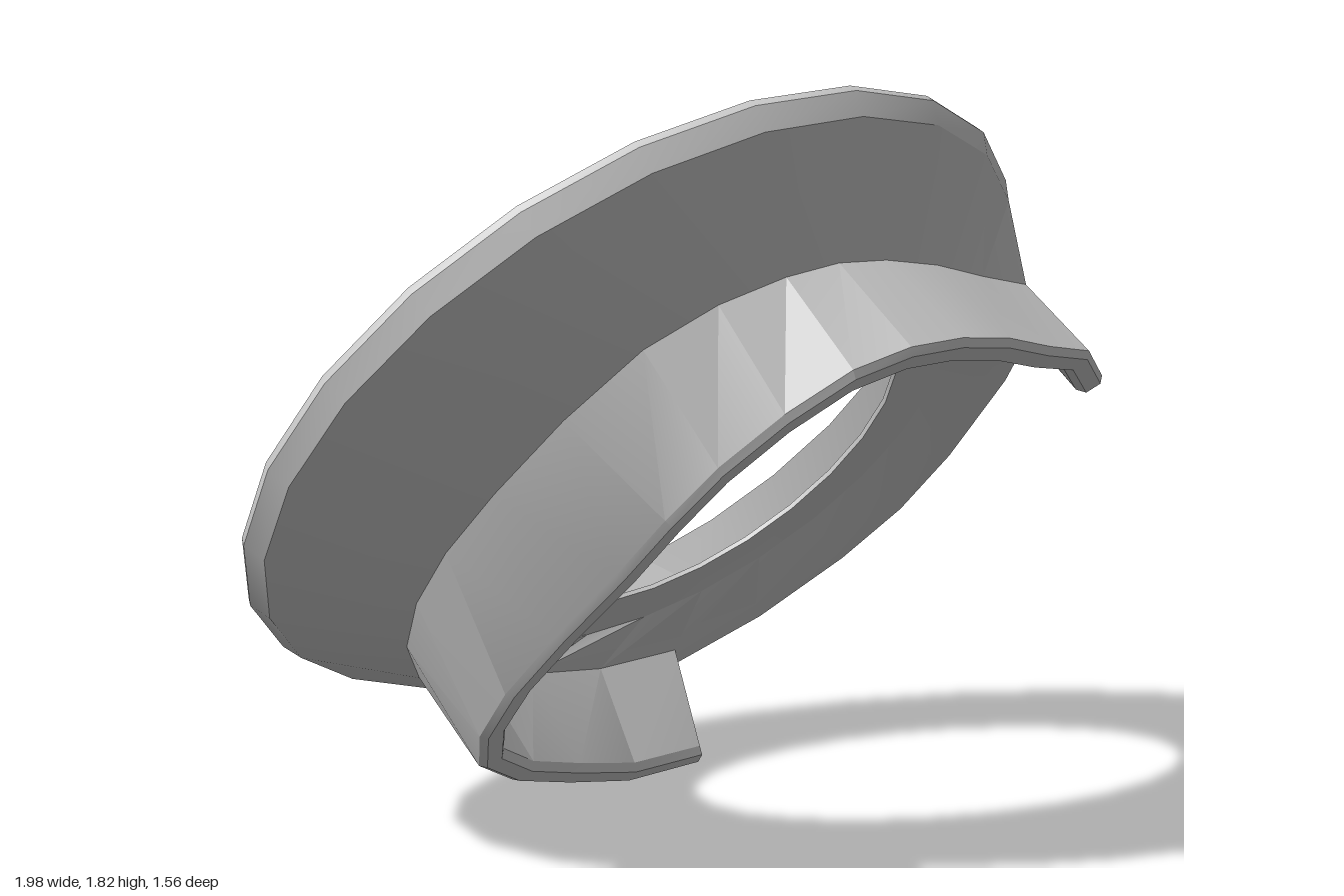
import * as THREE from 'three';
import { toCreasedNormals } from 'three/addons/utils/BufferGeometryUtils.js';

const N = 24;               // sides of every ring
const MID = [0.24, -0.07];  // centre of the offset collar

// Circle of N points at a given depth along the collar axis
function circle(r, depth, cx = 0, cy = 0) {
  return Array.from({ length: N }, (_, i) => {
    const a = ((i + 0.5) / N) * Math.PI * 2;
    return new THREE.Vector3(cx + r * Math.cos(a), cy + r * Math.sin(a), depth);
  });
}

// Smooth closed outline through 12 control points, sampled to N points
function outline(points, depth) {
  const curve = new THREE.CatmullRomCurve3(
    points.map(([x, y]) => new THREE.Vector3(x, y, depth)), true, 'catmullrom', 0.5);
  return Array.from({ length: N }, (_, i) => curve.getPoint(i / N));
}

// Pull an outline towards the collar centre and set its depth
function inset(loop, d, depth) {
  return loop.map((p) => {
    const v = new THREE.Vector3(MID[0] - p.x, MID[1] - p.y, 0).setLength(d).add(p);
    v.z = depth;
    return v;
  });
}

// Skin a series of loops from index start to end, with optional end caps
function skin(loops, start = 0, end = N, caps = false) {
  const pos = [];
  const tri = (a, b, c) => pos.push(...a.toArray(), ...b.toArray(), ...c.toArray());
  for (let k = 0; k < loops.length - 1; k++) {
    const a = loops[k], b = loops[k + 1];
    for (let i = start; i < end; i++) {
      const p = i % N, q = (i + 1) % N;
      tri(a[p], a[q], b[q]);
      tri(a[p], b[q], b[p]);
    }
  }
  if (caps) {
    for (let k = 1; k < loops.length - 1; k++) {
      tri(loops[0][start], loops[k][start], loops[k + 1][start]);
      tri(loops[0][end], loops[k + 1][end], loops[k][end]);
    }
  }
  const geo = new THREE.BufferGeometry();
  geo.setAttribute('position', new THREE.Float32BufferAttribute(pos, 3));
  return toCreasedNormals(geo, 0.3);
}

export function createModel() {
  const root = new THREE.Group();
  const tilted = new THREE.Group();
  tilted.name = 'tiltedRingAssembly';
  root.add(tilted);
  const material = new THREE.MeshStandardMaterial({ color: 0xcccccc, side: THREE.DoubleSide });
  const add = (name, geo) => {
    const mesh = new THREE.Mesh(geo, material);
    mesh.name = name;
    tilted.add(mesh);
  };

  // Outline where the funnel meets the collar
  const base = outline([
    [1.03, 0], [0.85, 0.56], [0.48, 0.67], [0.08, 0.71], [-0.2, 0.65], [-0.46, 0.43],
    [-0.575, -0.02], [-0.56, -0.4], [-0.36, -0.72], [0.05, -0.87], [0.62, -0.86], [0.97, -0.43],
  ], 0.21);
  const baseInner = inset(base, 0.07, 0.2);
  // Outline of the collar's free rim
  const rim = outline([
    [1.0, 0], [0.79, 0.605], [0.45, 0.71], [0.09, 0.74], [-0.19, 0.645], [-0.36, 0.35],
    [-0.4, 0], [-0.44, -0.42], [-0.32, -0.73], [0.07, -0.9], [0.585, -0.94], [0.94, -0.44],
  ], 0.465);

  // Flange, funnel and inner ring as one closed skin
  const backEdge = circle(1.005, 0);
  add('flangeFunnelAndInnerRing', skin([
    backEdge,
    circle(1.01, 0.02),
    circle(0.985, 0.07),
    base,
    baseInner,
    circle(0.69, 0.15, 0.155, -0.05),
    circle(0.545, 0.15, 0.15, -0.05),
    circle(0.545, 0.138, 0.15, -0.05),
    circle(0.7, 0.138, 0.14, -0.04),
    circle(0.735, 0.095, 0.11, -0.03),
    circle(0.8, 0),
    backEdge,
  ]));

  // Collar wall, open on one side, with a bevelled rim
  add('openCollar', skin([
    base,
    rim,
    inset(rim, 0.015, 0.48),
    inset(rim, 0.055, 0.48),
    inset(rim, 0.07, 0.46),
    baseInner,
  ], 2, 20, true));

  // Tilt the assembly so the flange faces up and back
  const back = new THREE.Vector3(0.148, 0.66, -0.735).normalize();
  const front = back.clone().negate();
  const side = new THREE.Vector3(1, 0, 0).addScaledVector(back, -back.x).normalize();
  const up = new THREE.Vector3().crossVectors(front, side);
  tilted.quaternion.setFromRotationMatrix(new THREE.Matrix4().makeBasis(side, up, front));
  tilted.position.set(0, 1.06, -0.1);
  return root;
}
